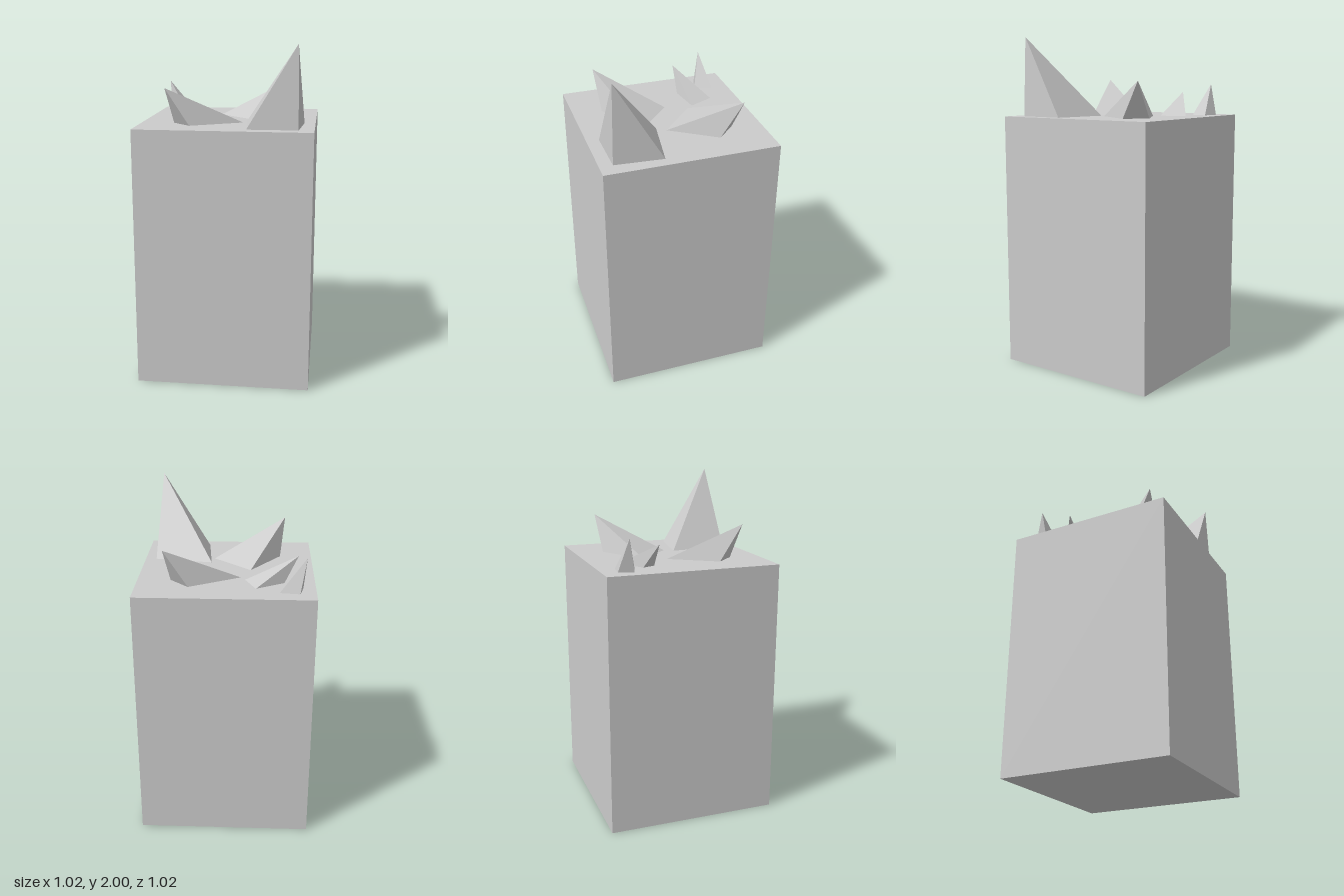
import * as THREE from 'three';

const TOP = 1.53;
const material = new THREE.MeshStandardMaterial({ color: 0xcccccc, flatShading: true });

// Leaning four-sided spike: base corners [x, z] clockwise from above, then the tip.
function spike(name, base, tip) {
  const points = [];
  base.forEach(([x, z], i) => {
    const [nx, nz] = base[(i + 1) % base.length];
    points.push(...tip, nx, TOP, nz, x, TOP, z);
  });
  const geometry = new THREE.BufferGeometry();
  geometry.setAttribute('position', new THREE.Float32BufferAttribute(points, 3));
  geometry.computeVertexNormals();
  const mesh = new THREE.Mesh(geometry, material);
  mesh.name = name;
  return mesh;
}

export function createModel() {
  const group = new THREE.Group();
  group.name = 'spikedBlock';

  // Tall block
  const block = new THREE.Mesh(new THREE.BoxGeometry(1.02, TOP, 1.02), material);
  block.name = 'block';
  block.position.y = TOP / 2;
  group.add(block);

  // Tallest spike at the front left corner
  group.add(spike('tallSpike',
    [[0.1, 0.09], [0.445, 0.145], [0.422, 0.433], [0.13, 0.437]], [0.413, 2, 0.42]));

  // Two equal spikes leaning outwards, half a turn apart
  for (const [name, turn] of [['backSpike', 0], ['frontSpike', Math.PI]]) {
    const mesh = spike(name,
      [[-0.085, -0.167], [0.21, -0.335], [0.318, -0.225], [0.14, 0.04]], [0.347, 1.745, -0.348]);
    mesh.rotation.y = turn;
    group.add(mesh);
  }

  // Low side spike and small corner spike
  group.add(spike('sideSpike',
    [[-0.335, -0.25], [-0.173, -0.348], [-0.11, -0.205], [-0.302, -0.174]], [-0.415, 1.67, -0.181]));
  group.add(spike('cornerSpike',
    [[-0.418, -0.423], [-0.305, -0.408], [-0.337, -0.302], [-0.438, -0.333]], [-0.454, 1.72, -0.364]));

  return group;
}
